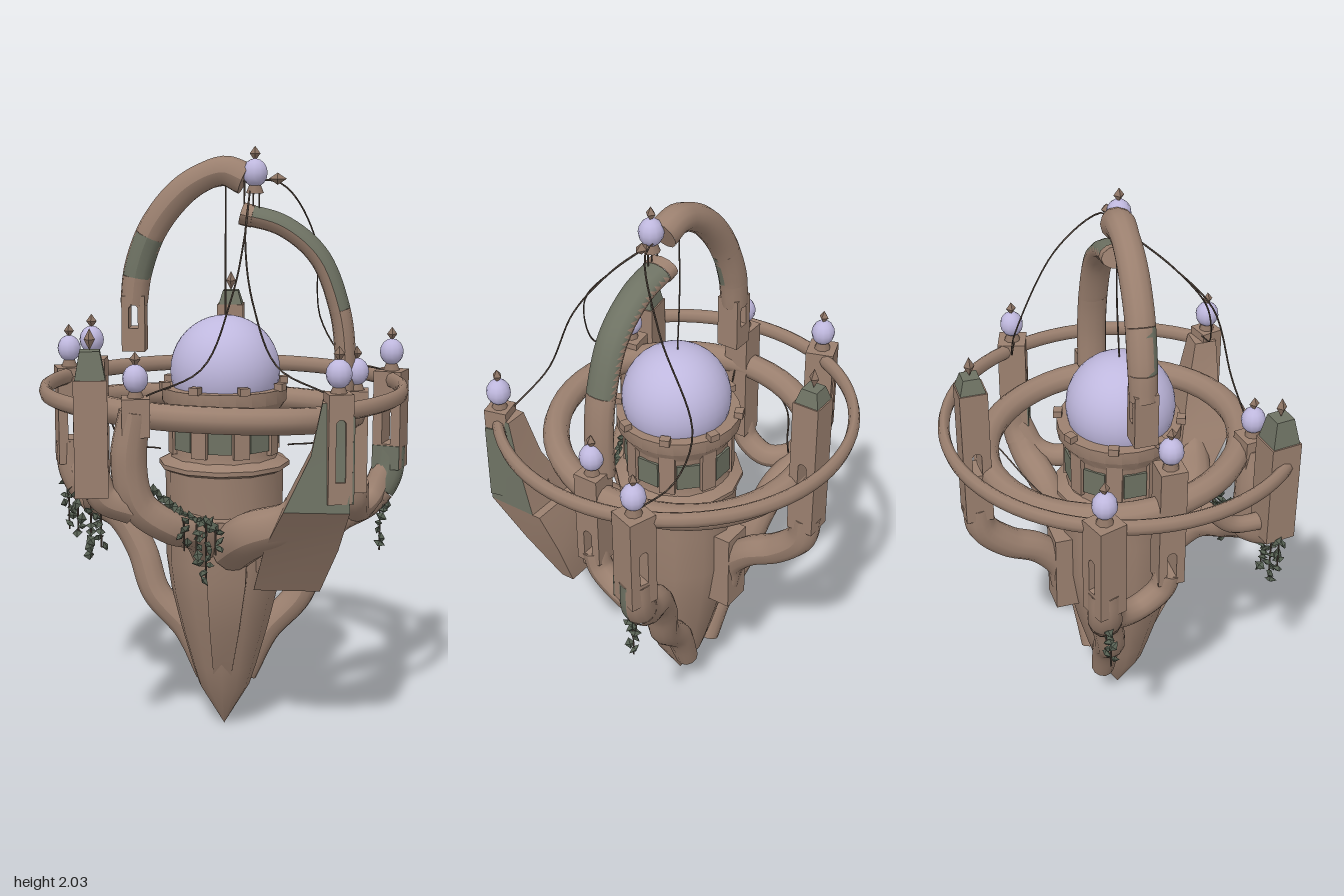
import * as THREE from 'three';
import { toCreasedNormals } from 'three/addons/utils/BufferGeometryUtils.js';

const mat = (name, color) => Object.assign(new THREE.MeshStandardMaterial({ color }), { name });
const V = (a) => new THREE.Vector3(...a);

export function createModel() {
  const root = new THREE.Group();
  root.name = 'floatingObservatory';
  const stone = mat('stone', 0x9b806f);
  const moss = mat('mossy stone', 0x6e7263);
  const crystal = mat('pale crystal', 0xbfb8de);
  const leaf = mat('dark leaf', 0x566052);
  const cord = mat('dark cord', 0x5f5147);
  const bronze = mat('bronze', 0x8d7464);

  let seed = 7;
  const rnd = () => (seed = (seed * 16807) % 2147483647) / 2147483647;

  const add = (name, geo, m, x = 0, y = 0, z = 0, yaw = 0) => {
    const mesh = new THREE.Mesh(geo, m);
    mesh.name = name;
    mesh.position.set(x, y, z);
    mesh.rotation.y = yaw;
    root.add(mesh);
    return mesh;
  };

  // Tube of changing radius along a curve, with flat end caps; moss covers the side facing mossDir
  const sweep = (name, pts, radii, { u0 = 0, u1 = 1, zs = 1, seg = 28, sides = 12, mossDir = null } = {}) => {
    const full = new THREE.CatmullRomCurve3(pts.map(V));
    const samples = [];
    for (let i = 0; i <= seg; i++) samples.push(full.getPointAt(u0 + (u1 - u0) * i / seg));
    const path = new THREE.CatmullRomCurve3(samples);
    const geo = new THREE.TubeGeometry(path, seg, 1, sides, false);
    const pos = geo.attributes.position, v = new THREE.Vector3();
    const radiusAt = (t) => {
      const f = (u0 + (u1 - u0) * t) * (radii.length - 1), i = Math.max(0, Math.min(Math.floor(f), radii.length - 2));
      return radii.length < 2 ? radii[0] : radii[i] + (radii[i + 1] - radii[i]) * (f - i);
    };
    for (let i = 0; i < pos.count; i++) {
      const t = Math.floor(i / (sides + 1)) / seg, p = path.getPointAt(t);
      v.fromBufferAttribute(pos, i).sub(p).multiplyScalar(radiusAt(t));
      v.z *= zs;
      v.add(p);
      pos.setXYZ(i, v.x, v.y, v.z);
    }
    geo.computeVertexNormals();
    if (mossDir) {
      const dir = V(mossDir).normalize(), idx = geo.index.array, bare = [], mossy = [];
      for (let i = 0; i < idx.length; i += 3) {
        const tri = [idx[i], idx[i + 1], idx[i + 2]];
        const facing = tri.reduce((sum, k) => sum + v.fromBufferAttribute(geo.attributes.normal, k).dot(dir), 0) / 3;
        (facing > 0.25 ? mossy : bare).push(...tri);
      }
      geo.setIndex([...bare, ...mossy]);
      geo.addGroup(0, bare.length, 0);
      geo.addGroup(bare.length, mossy.length, 1);
    }
    add(name, geo, mossDir ? [stone, moss] : stone);
    for (const t of [0, 1]) {
      const p = path.getPointAt(t), dir = path.getTangentAt(t).multiplyScalar(t ? 1 : -1);
      const cap = add(name + 'Cap', new THREE.CircleGeometry(radiusAt(t), sides), stone, p.x, p.y, p.z);
      cap.lookAt(p.clone().add(dir));
      if (zs !== 1) cap.scale.x = zs;
    }
  };

  // Square pier, optionally pierced by a round-headed slit
  const pier = (name, x, z, y0, y1, w, yaw, slit) => {
    const s = new THREE.Shape([[-w / 2, y0], [w / 2, y0], [w / 2, y1], [-w / 2, y1]].map((p) => new THREE.Vector2(...p)));
    if (slit) {
      const h = new THREE.Path(), r = 0.016;
      h.moveTo(-r, slit[0]);
      h.lineTo(-r, slit[1] - r);
      h.absarc(0, slit[1] - r, r, Math.PI, 0, true);
      h.lineTo(r, slit[0]);
      s.holes.push(h);
    }
    const geo = new THREE.ExtrudeGeometry(s, { depth: w, bevelEnabled: false, curveSegments: 6 });
    add(name, geo.translate(0, 0, -w / 2), stone, x, 0, z, yaw);
  };

  const finial = (x, y, z, h = 0.06) => {
    add('finial', new THREE.OctahedronGeometry(0.018), bronze, x, y + h / 2, z).scale.y = h / 0.036;
  };
  const orb = (x, y, z) => {
    add('lampFoot', new THREE.CylinderGeometry(0.018, 0.03, 0.03, 8), bronze, x, y - 0.052, z);
    add('lampOrb', new THREE.SphereGeometry(0.042, 12, 8), crystal, x, y, z).scale.y = 1.12;
    finial(x, y + 0.038, z, 0.05);
  };
  const roof = (x, y, z, w, h, yaw) => {
    const g = new THREE.CylinderGeometry(w * 0.42, w * 0.64, h, 4).rotateY(Math.PI / 4);
    add('mossRoof', toCreasedNormals(g, 0.5), moss, x, y + h / 2, z, yaw);
    finial(x, y + h, z, 0.07);
  };

  // Central tower, drum and dome
  const CZ = 0.05;
  const lathe = (pts, n) => toCreasedNormals(new THREE.LatheGeometry(pts.map((p) => new THREE.Vector2(...p)), n), 0.65);
  add('taperedTower', lathe([[0, 0], [0.09, 0.15], [0.115, 0.23], [0.152, 0.36], [0.186, 0.5], [0.203, 0.62],
    [0.203, 0.8], [0.205, 0.94], [0.226, 0.95], [0.226, 0.965], [0.185, 0.985]], 12), stone, 0, 0, CZ);
  add('drum', lathe([[0.185, 0.98], [0.18, 1.0], [0.18, 1.13], [0.215, 1.18], [0.215, 1.225], [0, 1.23]], 24), stone, 0, 0, CZ);
  add('dome', new THREE.SphereGeometry(0.188, 32, 20), crystal, 0.004, 1.28, CZ + 0.005);
  for (let i = 0; i < 8; i++) {
    const a = i / 8 * Math.PI * 2, b = a + Math.PI / 8;
    add('drumWindow', new THREE.BoxGeometry(0.08, 0.095, 0.009), moss, Math.sin(a) * 0.181, 1.065, CZ + Math.cos(a) * 0.181, a);
    add('drumPilaster', new THREE.BoxGeometry(0.055, 0.16, 0.03), stone, Math.sin(b) * 0.178, 1.08, CZ + Math.cos(b) * 0.178, b);
    add('rimKnob', new THREE.BoxGeometry(0.035, 0.025, 0.03), stone, Math.sin(b) * 0.212, 1.235, CZ + Math.cos(b) * 0.212, b);
  }

  // Thin outer ring, open at the front, and the tilted heavy inner ring
  const open = THREE.MathUtils.degToRad(134), arc = THREE.MathUtils.degToRad(272);
  const outer = new THREE.TorusGeometry(0.61, 0.02, 8, 56, arc).rotateZ(open).rotateX(Math.PI / 2).scale(1, 1.45, 1);
  add('outerRing', outer, stone, 0, 1.22, 0.06);
  const inner = new THREE.TorusGeometry(0.438, 0.045, 10, 48).rotateX(Math.PI / 2).scale(1.025, 1, 1);
  add('innerRing', inner, stone, 0, 1.145, 0.025).rotation.set(-0.075, 0, -0.03);

  // Side piers with long root-like arms, and the smaller piers hooked onto them
  for (const s of [1, -1]) {
    pier('sidePier', s * 0.577, -0.18, 0.9, 1.25, 0.1, s * -0.32, [0.99, 1.12]);
    orb(s * 0.577, 1.315, -0.18);
    const path = [[0.577, 0.98, -0.18], [0.565, 0.87, -0.175], [0.5, 0.78, -0.155], [0.39, 0.72, -0.12], [0.31, 0.6, -0.09],
      [0.255, 0.45, -0.06], [0.14, 0.32, -0.04], [0.07, 0.16, -0.03]].map(([x, y, z]) => [s * x, y, z]);
    const radii = [0.055, 0.058, 0.058, 0.055, 0.055, 0.052, 0.05, 0.042];
    sweep('rootArmTop', path, radii, { u1: 0.16, seg: 10, mossDir: s > 0 ? [0.4, 0, 1] : null });
    sweep('rootArm', path, radii, { u0: 0.16, seg: 36 });

    const top = s > 0 ? 1.22 : 1.32;
    pier('smallPier', s * 0.448, 0.078, 0.87, top, 0.09, Math.PI / 2, [0.9, 1.0]);
    orb(s * 0.452, top + 0.062, 0.078);
    sweep('hookArm', [[0.455, 0.9, 0.078], [0.455, 0.83, 0.055], [0.465, 0.775, -0.03], [0.51, 0.8, -0.12], [0.56, 0.9, -0.17]]
      .map(([x, y, z]) => [s * x, y, z]), [0.046, 0.045, 0.042, 0.045]);
  }
  add('sidePierMoss', new THREE.BoxGeometry(0.1, 0.085, 0.006), moss, 0.561, 0.942, -0.131, -0.32);

  // Tall rear pier and its arm
  pier('rearPier', -0.015, -0.465, 0.94, 1.45, 0.095, Math.PI / 2, [1.13, 1.22]);
  roof(-0.015, 1.45, -0.465, 0.095, 0.05, 0);
  sweep('rearArm', [[-0.015, 0.98, -0.465], [-0.015, 0.88, -0.45], [-0.01, 0.79, -0.36], [0, 0.73, -0.25], [0, 0.64, -0.17], [0, 0.55, -0.15]],
    [0.052, 0.054, 0.054, 0.054]);
  add('rearArmFoot', new THREE.BoxGeometry(0.11, 0.3, 0.09), stone, 0, 0.63, -0.155);

  // Front right-hand piers and the curved arm that carries them
  pier('mossPier', -0.395, 0.472, 0.93, 1.31, 0.108, 0.15, null);
  roof(-0.395, 1.31, 0.472, 0.108, 0.09, 0.15);
  pier('frontPier', -0.255, 0.437, 1.12, 1.245, 0.09, 0.15, null);
  orb(-0.255, 1.305, 0.437);
  sweep('frontArm', [[-0.258, 1.2, 0.437], [-0.28, 1.03, 0.437], [-0.25, 0.89, 0.43], [-0.15, 0.81, 0.4], [-0.07, 0.77, 0.32], [-0.04, 0.68, 0.22]],
    [0.052, 0.06, 0.06, 0.056, 0.058, 0.06]);
  sweep('mossPierArm', [[-0.39, 1.0, 0.465], [-0.36, 0.92, 0.455], [-0.27, 0.88, 0.43]], [0.05, 0.055]);
  sweep('mossPierBrace', [[-0.42, 1.1, 0.22], [-0.4, 1.0, 0.32], [-0.385, 0.98, 0.45]], [0.026, 0.032]);

  // Solid lofted from level rectangles [y, x, z, half width, half depth]; the first material takes the front and left faces
  const loft = (name, rows, outerMat, innerMat = outerMat) => {
    const p = [], idx = [], n = rows.length, e = (n - 1) * 4;
    for (const [y, x, z, a, b] of rows) p.push(x - a, y, z + b, x + a, y, z + b, x + a, y, z - b, x - a, y, z - b);
    for (let k = 0; k < 4; k++) for (let r = 0; r < n - 1; r++) {
      const i = r * 4 + k, j = r * 4 + (k + 1) % 4;
      idx.push(i, i + 4, j, j, i + 4, j + 4);
    }
    idx.push(0, 1, 2, 0, 2, 3, e, e + 2, e + 1, e, e + 3, e + 2);
    const g = new THREE.BufferGeometry(), half = 12 * (n - 1);
    g.setAttribute('position', new THREE.Float32BufferAttribute(p, 3));
    g.setIndex(idx);
    g.addGroup(0, half, 0);
    g.addGroup(half, idx.length - half, 1);
    g.computeVertexNormals();
    add(name, toCreasedNormals(g, 0.5), [outerMat, innerMat]);
  };

  // Flared front left-hand pier with its sloping foot and inner block
  loft('flaredPier', [[1.25, 0.385, 0.49, 0.04, 0.04], [1.08, 0.37, 0.475, 0.06, 0.06], [0.9, 0.33, 0.455, 0.105, 0.09]], moss, stone);
  loft('flaredPierFoot', [[0.9, 0.33, 0.44, 0.105, 0.105], [0.75, 0.28, 0.36, 0.12, 0.075], [0.58, 0.23, 0.305, 0.11, 0.025]], stone);
  add('flaredPierBlock', new THREE.BoxGeometry(0.13, 0.14, 0.16), stone, 0.2, 0.68, 0.255, 0.25);
  pier('frontSlitPier', 0.395, 0.51, 0.93, 1.28, 0.08, 0.25, [1.0, 1.2]);
  add('slitPierMoss', new THREE.BoxGeometry(0.006, 0.28, 0.08), moss, 0.435, 1.07, 0.5, 0.25);
  orb(0.395, 1.34, 0.51);
  sweep('flaredPierArm', [[0.34, 0.95, 0.43], [0.25, 0.84, 0.41], [0.12, 0.78, 0.36], [0.04, 0.7, 0.25]], [0.06, 0.07, 0.08, 0.08]);
  loft('frontButtress', [[0.8, 0.03, 0.24, 0.07, 0.06], [0.58, 0.025, 0.225, 0.065, 0.065], [0.4, 0.015, 0.185, 0.05, 0.055], [0.2, 0, 0.1, 0.03, 0.045]], stone);

  // Broken arch in two halves, mossy in places
  pier('archFoot', -0.31, 0.03, 1.34, 1.53, 0.08, 0, [1.42, 1.5]);
  const high = [[-0.312, 1.5, 0.03], [-0.295, 1.62, 0.03], [-0.235, 1.77, 0.037], [-0.12, 1.9, 0.045], [0, 1.95, 0.052], [0.07, 1.925, 0.06]];
  const highR = [0.047, 0.05, 0.05, 0.05, 0.047, 0.055];
  sweep('highArchBase', high, highR, { u1: 0.14, seg: 6 });
  sweep('highArchMoss', high, highR, { u0: 0.14, u1: 0.36, seg: 10, mossDir: [0.1, 0, 1] });
  sweep('highArch', high, highR, { u0: 0.36, seg: 22 });
  const low = [[0.41, 1.2, 0.075], [0.412, 1.35, 0.075], [0.39, 1.5, 0.075], [0.32, 1.67, 0.073], [0.2, 1.77, 0.068], [0.06, 1.81, 0.062]];
  sweep('lowArchBase', low, [0.036], { u1: 0.37, zs: 1.5, seg: 12 });
  sweep('lowArchMoss', low, [0.036], { u0: 0.37, u1: 0.95, zs: 1.5, seg: 20, mossDir: [0.7, 0.75, 0] });
  sweep('lowArchEnd', low, [0.038], { u0: 0.95, zs: 1.5, seg: 4 });
  orb(0.105, 1.945, 0.077);
  add('archPendant', new THREE.OctahedronGeometry(0.02), bronze, 0.18, 1.925, 0.06).scale.x = 1.5;

  // Slack cords
  const cords = [
    [[0.005, 1.92, 0.04], [0.004, 1.7, 0.04], [0.004, 1.46, 0.05]],
    [[0.09, 1.9, 0.08], [0.08, 1.73, 0.26], [0.05, 1.56, 0.4], [-0.04, 1.34, 0.44], [-0.22, 1.25, 0.44]],
    [[0.09, 1.9, 0.08], [0.085, 1.73, 0.26], [0.12, 1.54, 0.4], [0.2, 1.35, 0.45], [0.36, 1.27, 0.48]],
    [[0.08, 1.92, 0.06], [0.19, 1.91, 0.04], [0.3, 1.73, -0.09], [0.325, 1.42, -0.23], [0.42, 1.28, -0.22], [0.55, 1.25, -0.18]],
    [[-0.02, 1.2, -0.38], [-0.2, 1.1, -0.27], [-0.38, 1.1, -0.15], [-0.43, 1.2, 0.05]],
    [[0.42, 1.2, 0.08], [0.35, 1.05, 0.08], [0.22, 1.02, 0.05]],
    [[-0.42, 1.2, 0.08], [-0.35, 1.03, 0.08], [-0.22, 1.0, 0.05]],
  ];
  for (const c of cords) add('cord', new THREE.TubeGeometry(new THREE.CatmullRomCurve3(c.map(V)), 28, 0.003, 4), cord);
  for (const dx of [-0.02, 0.01, 0.03]) add('archTassel', new THREE.CylinderGeometry(0.003, 0.003, 0.1, 5), cord, 0.09 + dx, 1.87, 0.08);

  // Hanging vines: strings of small leaves [x, z, top, bottom]
  const vines = [[0.545, -0.14, 0.85, 0.6], [0.57, -0.17, 0.86, 0.74], [-0.585, -0.16, 0.9, 0.65], [-0.595, -0.18, 0.9, 0.76],
    [-0.4, 0.47, 0.93, 0.72], [-0.37, 0.45, 0.93, 0.75], [-0.44, 0.48, 0.93, 0.8],
    [-0.03, 0.43, 0.84, 0.63], [-0.06, 0.44, 0.83, 0.7], [-0.1, 0.44, 0.84, 0.74], [0, 0.41, 0.82, 0.72]];
  const leafGeo = new THREE.OctahedronGeometry(0.019);
  const addLeaf = (x, y, z) => {
    const l = add('leaf', leafGeo, leaf, x, y, z);
    l.rotation.set(rnd() * 3, rnd() * 3, rnd() * 3);
    l.scale.set(1.2, 0.55, 0.9);
  };
  for (const [x, z, y1, y0] of vines) {
    add('vineStem', new THREE.CylinderGeometry(0.003, 0.003, y1 - y0, 4), cord, x, (y1 + y0) / 2, z);
    for (let y = y1; y > y0; y -= 0.025) addLeaf(x + (rnd() - 0.5) * 0.03, y, z + (rnd() - 0.5) * 0.03);
  }
  // Leaves creeping along the top of the front arm
  for (let t = 0; t < 1; t += 0.09) addLeaf(-0.2 + t * 0.18, 0.94 - 0.12 * Math.sin(t * 1.57), 0.43 - t * 0.07);
  return root;
}
